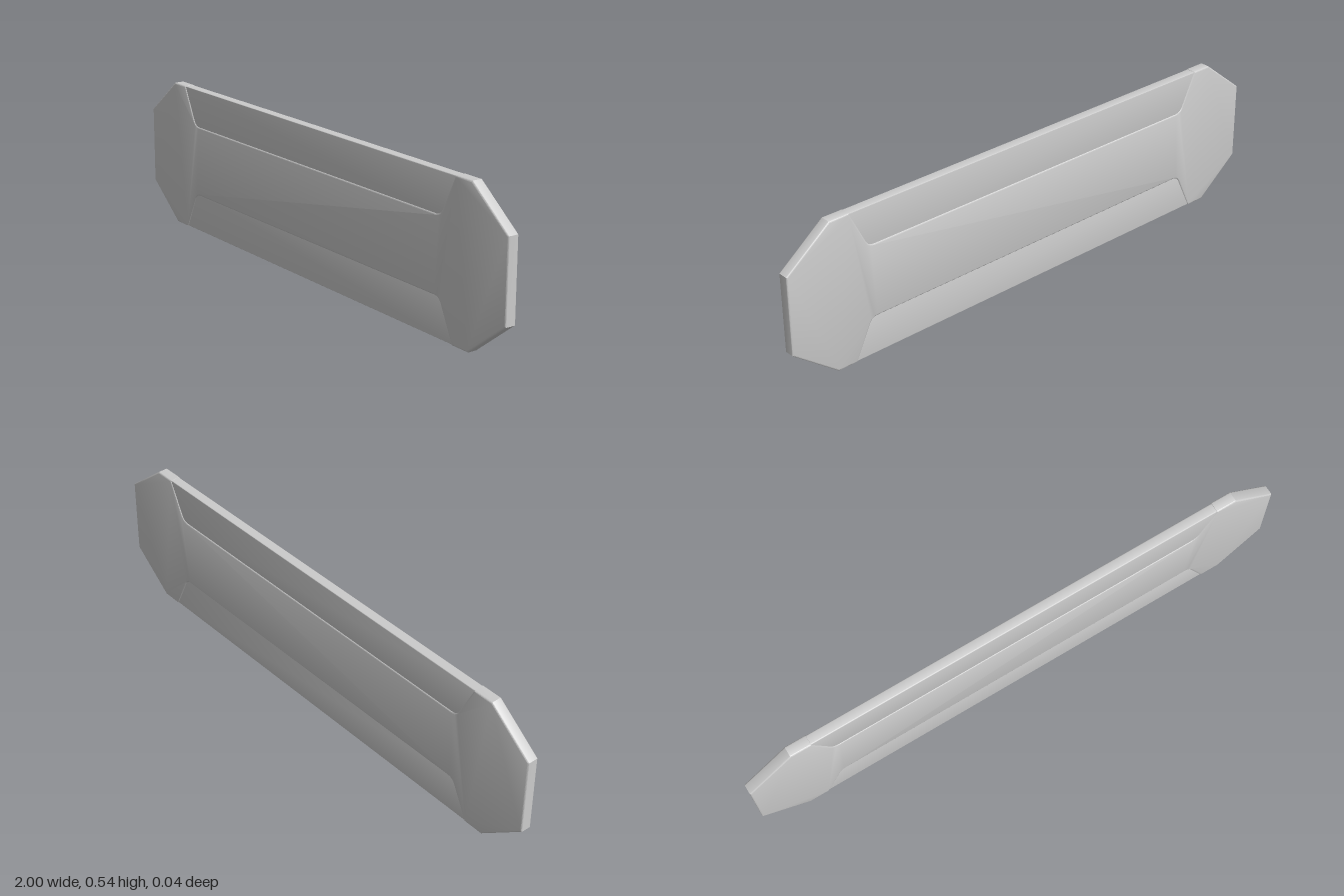
import * as THREE from 'three';
import { toCreasedNormals } from 'three/addons/utils/BufferGeometryUtils.js';

const HEIGHT = 0.535;
const MID = HEIGHT / 2;

// Full outline from a quarter profile (x, distance above the centre line), mirrored both ways
function mirroredShape(quarter) {
  const flip = (sx, sy) => quarter.map(([x, y]) => new THREE.Vector2(sx * x, sy * y));
  return new THREE.Shape([
    ...flip(1, -1).reverse(), ...flip(1, 1),
    ...flip(-1, 1).reverse(), ...flip(-1, -1),
  ]);
}

// Bevelled slab centred on z = 0, with the bevel kept inside the outline
function slab(name, shape, thickness, bevel, material) {
  const geometry = new THREE.ExtrudeGeometry(shape, {
    depth: thickness - 2 * bevel,
    bevelThickness: bevel,
    bevelSize: bevel,
    bevelOffset: -bevel,
    bevelSegments: 3,
  });
  geometry.translate(0, 0, bevel - thickness / 2);
  const mesh = new THREE.Mesh(toCreasedNormals(geometry, 0.6), material);
  mesh.name = name;
  mesh.position.y = MID;
  return mesh;
}

export function createModel() {
  const group = new THREE.Group();
  group.name = 'plate';
  const material = new THREE.MeshStandardMaterial({ color: 0xcccccc });

  // Main plate: chamfered ends and a long notch along each edge
  const body = mirroredShape([
    [1, 0.139], [0.836, MID], [0.762, MID],
    [0.704, 0.148], [0.697, 0.138], [0.687, 0.132], [0.675, 0.13],
  ]);
  group.add(slab('mainPlate', body, 0.04, 0.005, material));

  // Slightly recessed strips filling the notches, tucked under the plate's rim
  for (const side of [1, -1]) {
    const points = [[-0.772, MID - 0.001], [-0.7, 0.118], [0.7, 0.118], [0.772, MID - 0.001]]
      .map(([x, y]) => new THREE.Vector2(x, side * y));
    const name = side > 0 ? 'upperInsetStrip' : 'lowerInsetStrip';
    group.add(slab(name, new THREE.Shape(points), 0.035, 0.004, material));
  }
  return group;
}
